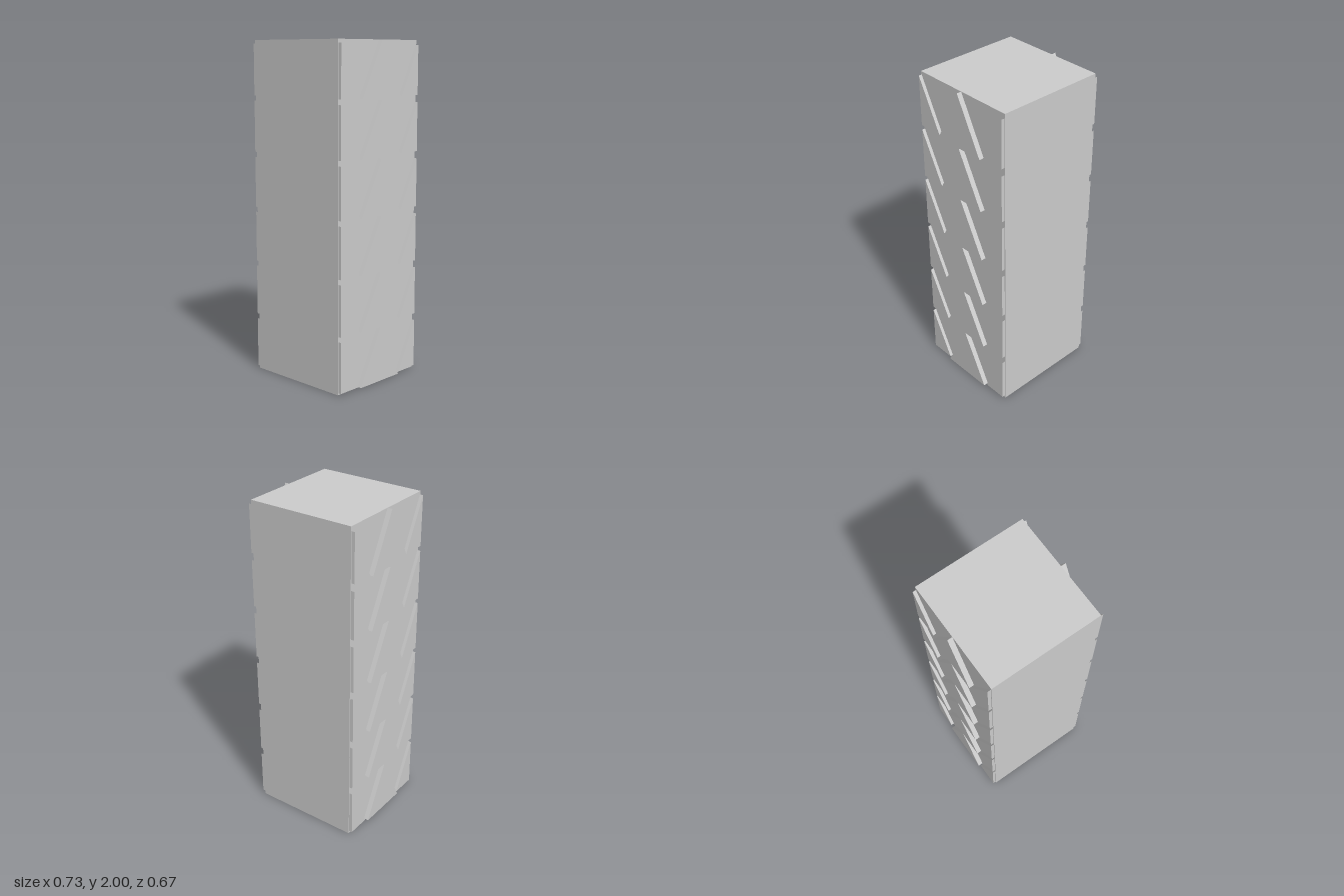
import * as THREE from 'three';

const ROWS = 6;
const STEP = 2 / ROWS;
const HALF = 0.333;

// Triangles repeated in every row: corners as [z, y], and how far they stand out
const TILES = [
  { name: 'centreTriangle', depth: 0.03, points: [[0.167, 0.005], [-0.167, 0.005], [0, 0.333]] },
  { name: 'frontTriangle', depth: 0.02, points: [[0.328, 0.011], [0.175, 0.011], [0.328, 0.314]] },
  { name: 'backTriangle', depth: 0.02, points: [[-0.183, 0.016], [-0.328, 0.016], [-0.328, 0.306]] },
];

export function createModel() {
  const group = new THREE.Group();
  group.name = 'pillar';
  const material = new THREE.MeshStandardMaterial({ color: 0xcccccc, flatShading: true });

  // Square block
  const block = new THREE.Mesh(new THREE.BoxGeometry(HALF * 2, 2, HALF * 2), material);
  block.name = 'block';
  block.position.y = 1;
  group.add(block);

  // Raised triangles on the two mirrored side faces
  for (const side of [1, -1]) {
    const panel = new THREE.Group();
    panel.name = side > 0 ? 'leftPanel' : 'rightPanel';
    for (const { name, depth, points } of TILES) {
      const shape = new THREE.Shape(points.map(([z, y]) => new THREE.Vector2(-side * z, y)));
      const geometry = new THREE.ExtrudeGeometry(shape, { depth, bevelEnabled: false });
      geometry.rotateY(side * Math.PI / 2);
      for (let row = 0; row < ROWS; row++) {
        const tile = new THREE.Mesh(geometry, material);
        tile.name = name;
        tile.position.set(side * HALF, row * STEP, 0);
        panel.add(tile);
      }
    }
    group.add(panel);
  }
  return group;
}
